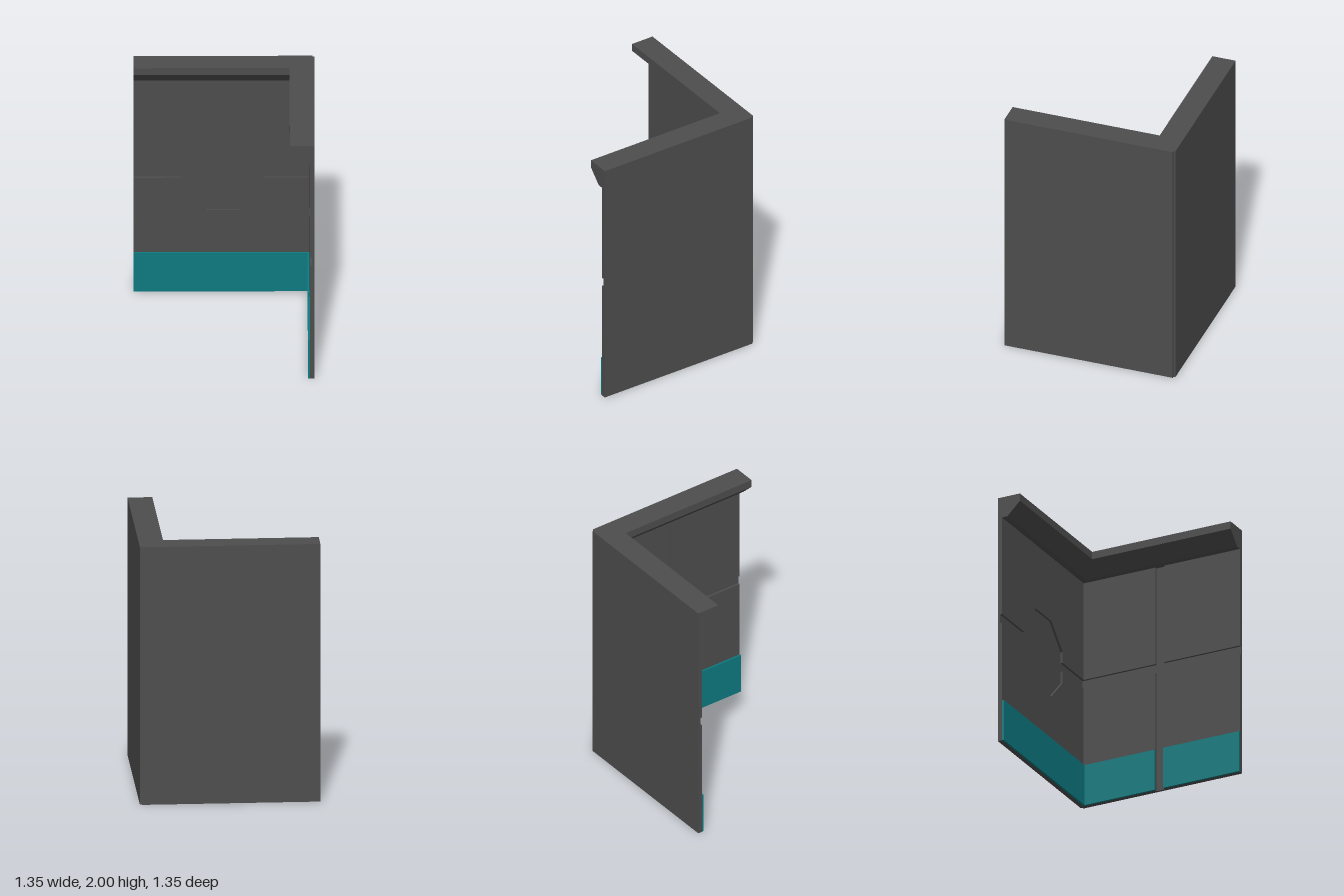
import * as THREE from 'three';

const H = 2, HALF = 0.675, CORNER = 0.66;      // height, half width, stepped outer corner
const SLAB = 0.018, PANEL = 0.035, SKIRT = 0.05; // depths measured from the outer face
const GROOVE = [0.97, 1.04], CORNICE_Y = 1.835, SKIRT_Y = 0.33;

const wallMat = new THREE.MeshStandardMaterial({ color: 0x4d4d4d, flatShading: true });
const skirtMat = new THREE.MeshStandardMaterial({ color: 0x0d7a80, flatShading: true });

function add(group, name, geometry, material = wallMat) {
  const mesh = new THREE.Mesh(geometry, material);
  mesh.name = name;
  group.add(mesh);
}

function box(u0, u1, y0, y1, d0, d1) {
  return new THREE.BoxGeometry(u1 - u0, y1 - y0, d1 - d0)
    .translate((u0 + u1) / 2, (y0 + y1) / 2, (d0 + d1) / 2);
}

// Flat panel from an outline, standing proud of the slab
function panel(points) {
  const shape = new THREE.Shape(points.map(([x, y]) => new THREE.Vector2(x, y)));
  return new THREE.ExtrudeGeometry(shape, { depth: PANEL - SLAB, bevelEnabled: false })
    .translate(0, 0, SLAB);
}

// Cornice profile (depth, height) swept along the wall
function cornice(u0, u1) {
  const profile = [[SLAB, CORNICE_Y], [0.08, CORNICE_Y], [0.185, 1.94], [0.185, H], [SLAB, H]];
  const shape = new THREE.Shape(profile.map(([d, y]) => new THREE.Vector2(-d, y)));
  return new THREE.ExtrudeGeometry(shape, { depth: u1 - u0, bevelEnabled: false })
    .rotateY(Math.PI / 2).translate(u0, 0, 0);
}

// Wall in its own frame: x along the wall, y up, z towards the room
function makeWall(name, u0, u1) {
  const wall = new THREE.Group();
  wall.name = name;
  add(wall, 'wallSlab', box(u0, u1, 0, H, 0, SLAB));
  add(wall, 'cornice', cornice(u0, u1));
  return wall;
}

export function createModel() {
  const model = new THREE.Group();
  model.name = 'wallCorner';

  // Back wall: horizontal groove opening into an octagonal recess
  const back = makeWall('backWall', -HALF, CORNER);
  back.position.z = -HALF;
  add(back, 'upperPanel', panel([
    [-HALF, GROOVE[1]], [-0.32, GROOVE[1]], [-0.32, 1.13], [-0.135, 1.31], [0.12, 1.31],
    [0.3, 1.13], [0.3, GROOVE[1]], [CORNER, GROOVE[1]], [CORNER, CORNICE_Y], [-HALF, CORNICE_Y],
  ]));
  add(back, 'lowerPanel', panel([
    [-HALF, 0], [CORNER, 0], [CORNER, GROOVE[0]], [0.3, GROOVE[0]], [0.3, 0.875],
    [0.12, 0.69], [-0.135, 0.69], [-0.32, 0.875], [-0.32, GROOVE[0]], [-HALF, GROOVE[0]],
  ]));
  add(back, 'skirting', box(-HALF, 0.64, 0, SKIRT_Y, PANEL, SKIRT), skirtMat);
  model.add(back);

  // Left wall: four panels divided by a horizontal and a vertical groove
  const side = makeWall('leftWall', -CORNER, HALF);
  side.rotation.y = -Math.PI / 2;
  side.position.x = HALF;
  for (const [u0, u1] of [[-CORNER, -0.035], [0.035, HALF]]) {
    add(side, 'upperPanel', box(u0, u1, GROOVE[1], CORNICE_Y, SLAB, PANEL));
    add(side, 'lowerPanel', box(u0, u1, 0, GROOVE[0], SLAB, PANEL));
    add(side, 'skirting', box(Math.max(u0, -0.64), u1, 0, SKIRT_Y, PANEL, SKIRT), skirtMat);
  }
  model.add(side);

  return model;
}
